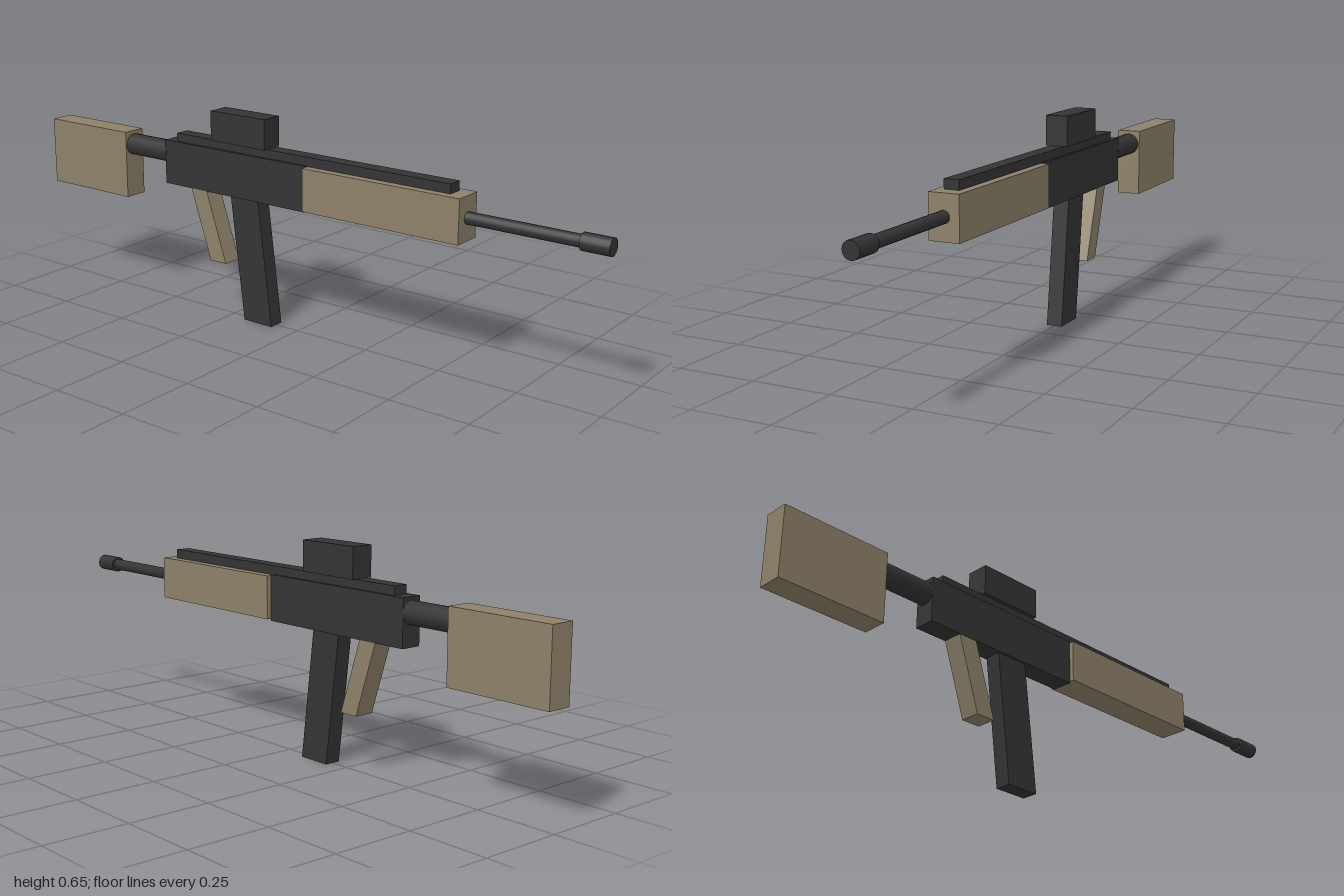
import * as THREE from 'three';

export function createModel() {
  const model = new THREE.Group();
  const dark = new THREE.MeshStandardMaterial({ color: 0x343434 });
  dark.name = 'darkMetal';
  const tan = new THREE.MeshStandardMaterial({ color: 0x8e8169 });
  tan.name = 'tanFurniture';

  function add(name, geometry, material) {
    const mesh = new THREE.Mesh(geometry, material);
    mesh.name = name;
    model.add(mesh);
    return mesh;
  }

  // Block between x0..x1 and y0..y1; lean shifts its lower edge along x
  function block(name, material, x0, x1, y0, y1, halfDepth, lean = 0) {
    const geo = new THREE.BoxGeometry(x1 - x0, y1 - y0, halfDepth * 2);
    const pos = geo.attributes.position;
    for (let i = 0; i < pos.count; i++) {
      if (pos.getY(i) < 0) pos.setX(i, pos.getX(i) + lean);
    }
    geo.computeVertexNormals();
    add(name, geo, material).position.set((x0 + x1) / 2, (y0 + y1) / 2, 0);
  }

  // Round rod lying along x
  function rod(name, x0, x1, y, radius) {
    const geo = new THREE.CylinderGeometry(radius, radius, x1 - x0, 16);
    geo.rotateZ(-Math.PI / 2);
    add(name, geo, dark).position.set((x0 + x1) / 2, y, 0);
  }

  // Body and furniture
  block('receiver', dark, -0.498, 0.051, 0.391, 0.53, 0.032);
  block('handguard', tan, 0.051, 0.577, 0.397, 0.527, 0.046);
  block('stock', tan, -1, -0.665, 0.317, 0.531, 0.038);

  // Top rail and sight
  block('topRail', dark, -0.455, 0.535, 0.528, 0.556, 0.023);
  block('sight', dark, -0.305, -0.097, 0.556, 0.648, 0.035);

  // Slanted parts below the body
  block('magazine', dark, -0.238, -0.132, 0, 0.393, 0.025, 0.049);
  block('grip', tan, -0.393, -0.331, 0.17, 0.393, 0.031, 0.074);

  // Round parts
  rod('stockTube', -0.67, -0.495, 0.487, 0.034);
  rod('barrel', 0.57, 0.93, 0.464, 0.018);
  rod('muzzle', 0.916, 1, 0.464, 0.025);

  return model;
}
